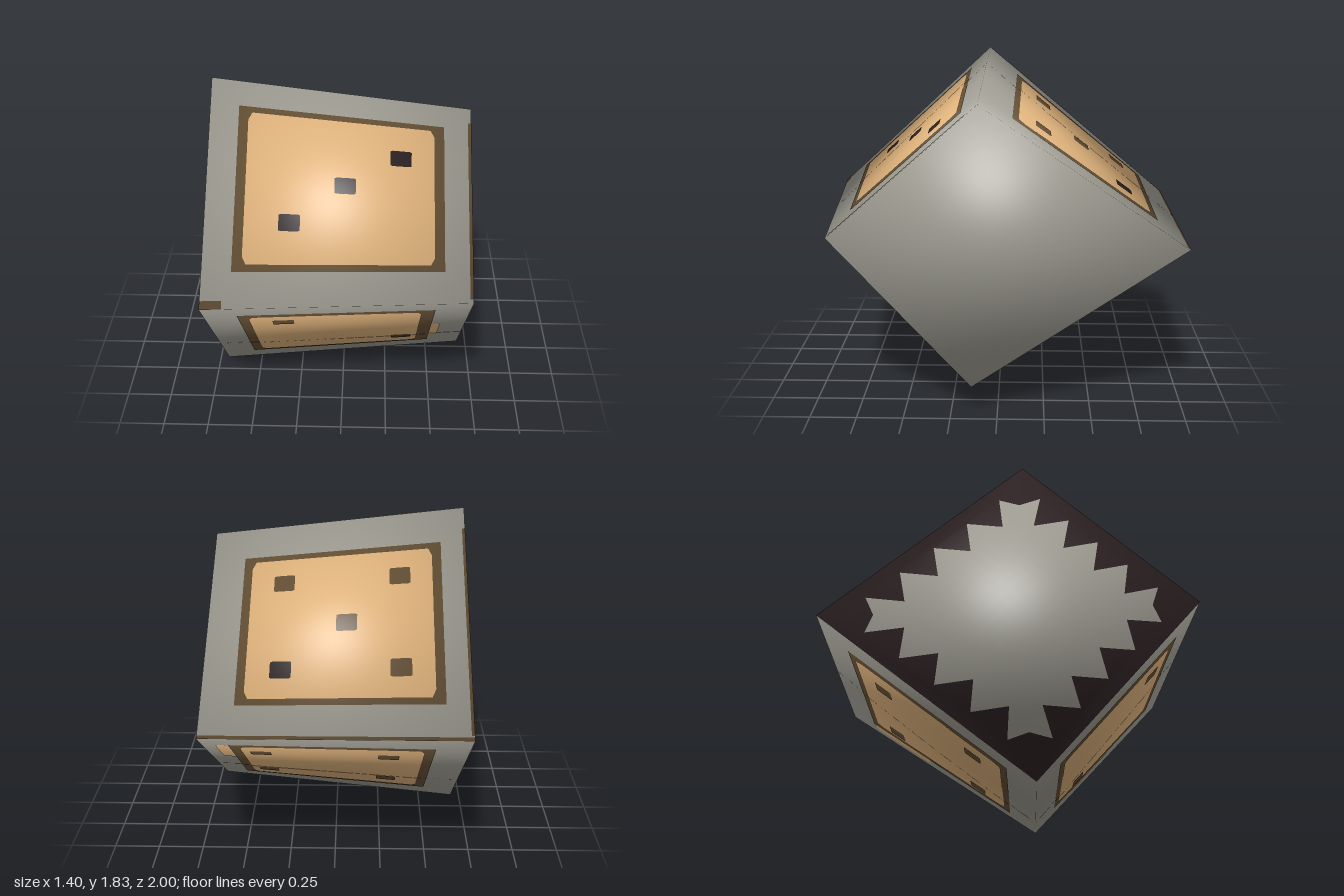
import * as THREE from 'three';

const mat = (name, color) => {
  const m = new THREE.MeshStandardMaterial({ color });
  m.name = name;
  return m;
};
const V = (x, y, z) => new THREE.Vector3(x, y, z);
const CENTRE = V(0, 0.93, 0.04);

// End rings in the order top, front, bottom, back; the +x end is smaller
const L = [V(-0.7, 1.83, 0.08), V(-0.7, 0.98, 1), V(-0.7, 0, 0.14), V(-0.7, 0.92, -1)];
const R = [V(0.677, 1.67, 0.1), V(0.677, 0.97, 0.895), V(0.677, 0.15, 0.14), V(0.677, 0.92, -1)];

// Each face is a quad: u runs a to b, v runs a to d
const side = (i) => [L[i], R[i], R[(i + 1) % 4], L[(i + 1) % 4]];
const [TOP_FRONT, LOW_FRONT, LOW_BACK, TOP_BACK] = [0, 1, 2, 3].map(side);
const LEFT_END = L;
const RIGHT_END = [R[1], R[0], R[3], R[2]];

const blend = (q, u, v) =>
  q[0].clone().lerp(q[1], u).lerp(q[3].clone().lerp(q[2], u), v);

// Lay a geometry drawn in the unit square on a face, with soft corner normals
function layOn(geo, quad, [u0, u1, v0, v1], lift = 0, bulge = 0) {
  const p = geo.attributes.position, n = geo.attributes.normal;
  const out = quad[3].clone().sub(quad[0]).cross(quad[1].clone().sub(quad[0])).normalize();
  const corners = quad.map((c) => c.clone().sub(CENTRE).normalize());
  for (let i = 0; i < p.count; i++) {
    const u = u0 + (u1 - u0) * p.getX(i);
    const v = v1 - (v1 - v0) * p.getY(i);
    const rise = bulge * (1 - 2 * Math.max(Math.abs(u - 0.5), Math.abs(v - 0.5)));
    const pos = blend(quad, u, v).addScaledVector(out, lift + rise);
    const nor = blend(corners, u, v).normalize();
    p.setXYZ(i, pos.x, pos.y, pos.z);
    n.setXYZ(i, nor.x, nor.y, nor.z);
  }
  return geo;
}

// Rectangular patch with optionally trimmed corners
function patch(quad, area, lift = 0, trim = 0, seg = 20, bulge = 0) {
  const geo = new THREE.PlaneGeometry(1, 1, seg, seg);
  const p = geo.attributes.position;
  for (let i = 0; i < p.count; i++) {
    const x = p.getX(i), y = p.getY(i);
    const cut = trim * Math.max(0, (Math.abs(y) - 0.45) / 0.05);
    p.setXY(i, 0.5 + x * (1 - cut), 0.5 + y);
  }
  return layOn(geo, quad, area, lift, bulge);
}

export function createModel() {
  const grey = mat('stone grey', 0x9c9a90);
  const tan = mat('panel tan', 0xdcb07a);
  const brown = mat('border brown', 0x624e34);
  const dark = mat('dark brown', 0x2b2022);

  const model = new THREE.Group();
  model.name = 'die';
  const add = (name, geo, material) => {
    const m = new THREE.Mesh(geo, material);
    m.name = name;
    model.add(m);
  };

  // Body: four tapering sides, a flat end and a slightly domed end
  [TOP_FRONT, LOW_FRONT, LOW_BACK, TOP_BACK, LEFT_END].forEach((q) =>
    add('bodyFace', patch(q, [0, 1, 0, 1]), grey));
  add('domedEnd', patch(RIGHT_END, [0, 1, 0, 1], 0, 0, 20, 0.023), grey);

  // Bordered panels with pips: [u, v, material]
  const faces = [
    { quad: TOP_FRONT, border: [0.11, 0.895, 0.115, 0.845], panel: [0.147, 0.857, 0.142, 0.815],
      pips: [[0.315, 0.63, dark], [0.52, 0.45, dark], [0.73, 0.3, dark]] },
    { quad: LOW_FRONT, border: [0.125, 0.865, 0.113, 0.858], panel: [0.163, 0.815, 0.147, 0.83],
      pips: [[0.29, 0.243, brown], [0.75, 0.69, brown]] },
    { quad: LOW_BACK, border: [0.13, 0.9, 0.13, 0.87], panel: [0.167, 0.862, 0.158, 0.842],
      pips: [[0.3, 0.29, brown], [0.79, 0.29, brown], [0.3, 0.72, brown], [0.79, 0.72, brown]] },
    { quad: TOP_BACK, border: [0.098, 0.873, 0.143, 0.845], panel: [0.134, 0.84, 0.17, 0.818],
      pips: [[0.26, 0.295, brown], [0.71, 0.295, dark], [0.465, 0.5, brown],
        [0.26, 0.7, brown], [0.71, 0.7, brown]] },
  ];
  for (const { quad, border, panel, pips } of faces) {
    add('panelBorder', patch(quad, border, 0.003), brown);
    add('panel', patch(quad, panel, 0.006, 0.04), tan);
    for (const [u, v, m] of pips)
      add('pip', patch(quad, [u - 0.04, u + 0.04, v - 0.038, v + 0.038], 0.009, 0.2), m);
  }

  // Stray paint beside two panels and worn edges
  add('paintSpill', patch(LOW_FRONT, [0.855, 0.9, 0.44, 0.73], 0.0015, 0.3), tan);
  add('paintSpill', patch(LOW_BACK, [0.89, 0.95, 0.56, 0.86], 0.0015, 0.3), tan);
  [
    [TOP_BACK, [0, 0.012, 0.02, 0.9]],
    [TOP_BACK, [0, 1, 0, 0.014]],
    [TOP_FRONT, [0.987, 1, 0.08, 0.98]],
    [TOP_FRONT, [0, 0.08, 0.965, 1]],
  ].forEach(([q, area]) => add('wornEdge', patch(q, area, 0.002), brown));

  // Toothed dark border around the flat end
  const rim = new THREE.Shape([[0, 0], [1, 0], [1, 1], [0, 1]].map((c) => new THREE.Vector2(...c)));
  const teeth = [];
  const count = 5, low = 0.06, high = 0.17;
  for (let s = 0; s < 4; s++) {
    for (let i = 0; i <= 2 * count; i++) {
      const along = low + 0.03 + (0.88 - 0.06) * (i / (2 * count));
      const deep = i % 2 ? low : high;
      const point = new THREE.Vector2(along, deep);
      if (i === 0 || i === 2 * count) point.set(i ? 1 - high * 0.8 : high * 0.8, high * 0.8);
      if (i === 2 * count) continue;
      teeth.push(point.rotateAround(new THREE.Vector2(0.5, 0.5), s * Math.PI / 2));
    }
  }
  rim.holes.push(new THREE.Path(teeth));
  add('toothedRim', layOn(new THREE.ShapeGeometry(rim), LEFT_END, [0, 1, 0, 1], 0.003), dark);

  return model;
}
